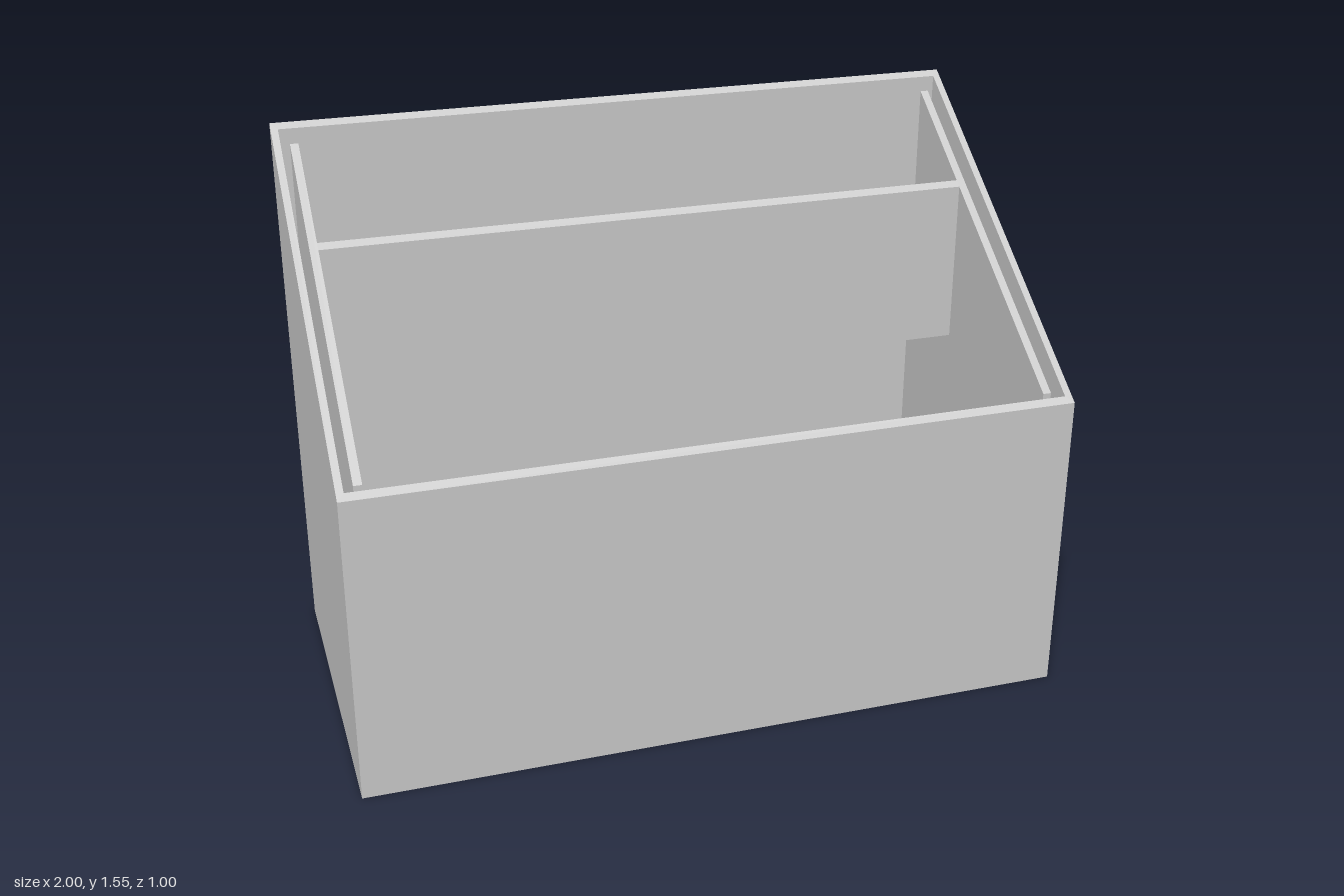
import * as THREE from 'three';

const material = new THREE.MeshStandardMaterial({ color: 0xcccccc });

// Height of the sloping rim at depth z
const rim = (z) => 0.88 + 0.675 * (0.5 - z);

// Raise the top corners of a unit-high geometry to the slope, lowered by drop
function slopeTop(geometry, bottom, drop) {
  const p = geometry.attributes.position;
  for (let i = 0; i < p.count; i++) {
    p.setY(i, p.getY(i) > 0.5 ? rim(p.getZ(i)) - drop : bottom);
  }
  geometry.computeVertexNormals();
  return geometry;
}

function rectangle(path, w, d) {
  path.moveTo(-w, -d);
  path.lineTo(w, -d);
  path.lineTo(w, d);
  path.lineTo(-w, d);
  path.closePath();
  return path;
}

// Upright panel with its top cut along the slope
function panel(x0, x1, z0, z1, bottom, drop) {
  const g = new THREE.BoxGeometry(x1 - x0, 1, z1 - z0);
  g.translate((x0 + x1) / 2, 0.5, (z0 + z1) / 2);
  return slopeTop(g, bottom, drop);
}

export function createModel() {
  const model = new THREE.Group();
  model.name = 'slopedBox';
  const add = (name, geometry) => {
    const mesh = new THREE.Mesh(geometry, material);
    mesh.name = name;
    model.add(mesh);
    return mesh;
  };

  // Outer sleeve, open at the top and bottom
  const footprint = rectangle(new THREE.Shape(), 1, 0.5);
  footprint.holes.push(rectangle(new THREE.Path(), 0.98, 0.48));
  const sleeve = new THREE.ExtrudeGeometry(footprint, { depth: 1, bevelEnabled: false });
  sleeve.rotateX(-Math.PI / 2);
  add('outerSleeve', slopeTop(sleeve, 0, 0));

  // Inner tray: raised floor, two side panels and a hanging divider
  const back = -0.455, front = 0.45, floorY = 0.13, drop = 0.02;
  add('trayFloor', new THREE.BoxGeometry(1.86, 0.02, front - back))
    .position.set(0, floorY + 0.01, (front + back) / 2);
  add('leftTraySide', panel(0.93, 0.953, back, front, floorY, drop));
  add('rightTraySide', panel(-0.953, -0.93, back, front, floorY, drop));
  add('divider', panel(-0.93, 0.93, -0.17, -0.15, 0.83, drop));

  return model;
}
